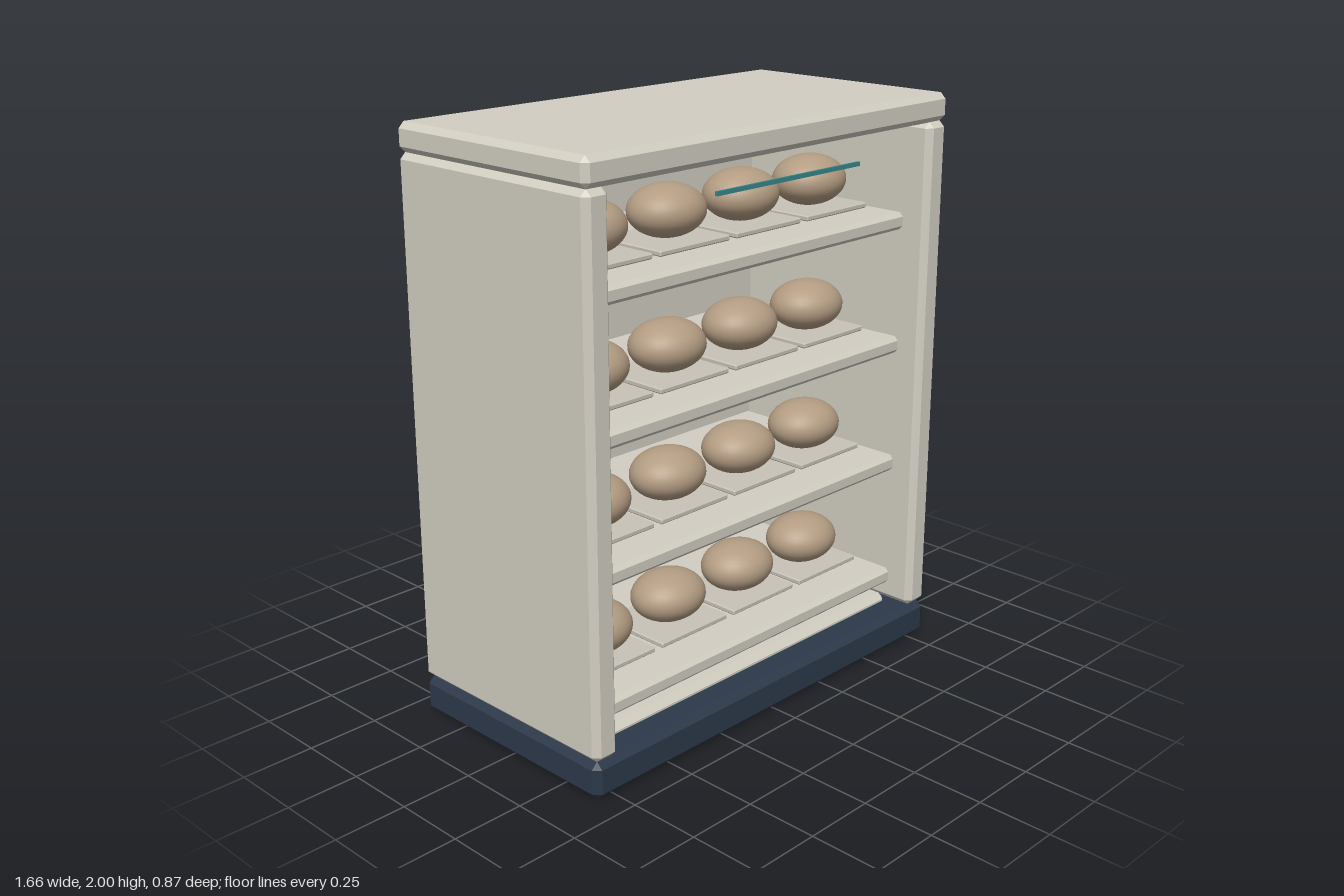
import * as THREE from 'three';
import { ConvexGeometry } from 'three/addons/geometries/ConvexGeometry.js';

const mat = (color) => new THREE.MeshStandardMaterial({ color });

// Box given by its limits, with every edge cut by a flat chamfer c
function chamferBox([x0, x1], [y0, y1], [z0, z1], c) {
  const h = [(x1 - x0) / 2, (y1 - y0) / 2, (z1 - z0) / 2];
  const points = [];
  for (const sx of [-1, 1]) for (const sy of [-1, 1]) for (const sz of [-1, 1]) {
    for (let axis = 0; axis < 3; axis++) {
      const p = h.map((v, i) => (i === axis ? v : v - c));
      points.push(new THREE.Vector3(p[0] * sx, p[1] * sy, p[2] * sz));
    }
  }
  return new ConvexGeometry(points).translate((x0 + x1) / 2, (y0 + y1) / 2, (z0 + z1) / 2);
}

export function createModel() {
  const model = new THREE.Group();
  model.name = 'displayCabinet';
  const shell = mat(0xd2cec2), navy = mat(0x2c394a), brown = mat(0xb39c82), teal = mat(0x36888c);
  const trayMat = mat(0xc8c3b8);

  const add = (name, geometry, material, parent = model) => {
    const mesh = new THREE.Mesh(geometry, material);
    mesh.name = name;
    parent.add(mesh);
    return mesh;
  };

  // Carcass
  const depth = [-0.437, 0.414];
  add('base', chamferBox([-0.828, 0.828], [0, 0.13], depth, 0.023), navy);
  add('topSlab', chamferBox([-0.828, 0.828], [1.905, 2], depth, 0.02), shell);
  add('leftSide', chamferBox([0.73, 0.828], [0.13, 1.907], depth, 0.021), shell);
  add('rightSide', chamferBox([-0.828, -0.73], [0.13, 1.907], depth, 0.021), shell);
  add('backPanel', chamferBox([-0.733, 0.733], [0.13, 1.907], [-0.437, -0.37], 0.02), shell);
  add('floorPanel', chamferBox([-0.728, 0.728], [0.09, 0.157], [-0.39, 0.31], 0.02), shell);

  // Shelves, each with four trays holding an egg-shaped item
  const trayGeo = chamferBox([-0.157, 0.157], [0, 0.019], [-0.14, 0.14], 0.004);
  const eggGeo = new THREE.SphereGeometry(1, 32, 20).scale(0.137, 0.087, 0.12);
  for (let row = 0; row < 4; row++) {
    const shelf = new THREE.Group();
    shelf.name = 'shelfRow';
    shelf.position.y = 0.21 + row * 0.442;
    model.add(shelf);
    add('shelf', chamferBox([-0.718, 0.718], [0, 0.06], [-0.38, 0.335], 0.014), shell, shelf);
    for (let i = 0; i < 4; i++) {
      const x = (i - 1.5) * 0.345;
      add('tray', trayGeo, trayMat, shelf).position.set(x, 0.062, 0.06);
      add('egg', eggGeo, brown, shelf).position.set(x, 0.167, 0.07);
    }
  }

  // Thin accent strip floating in front of the opening
  add('accentStrip', new THREE.BoxGeometry(0.66, 0.014, 0.009).translate(0, 1.828, 0.433), teal);

  return model;
}
